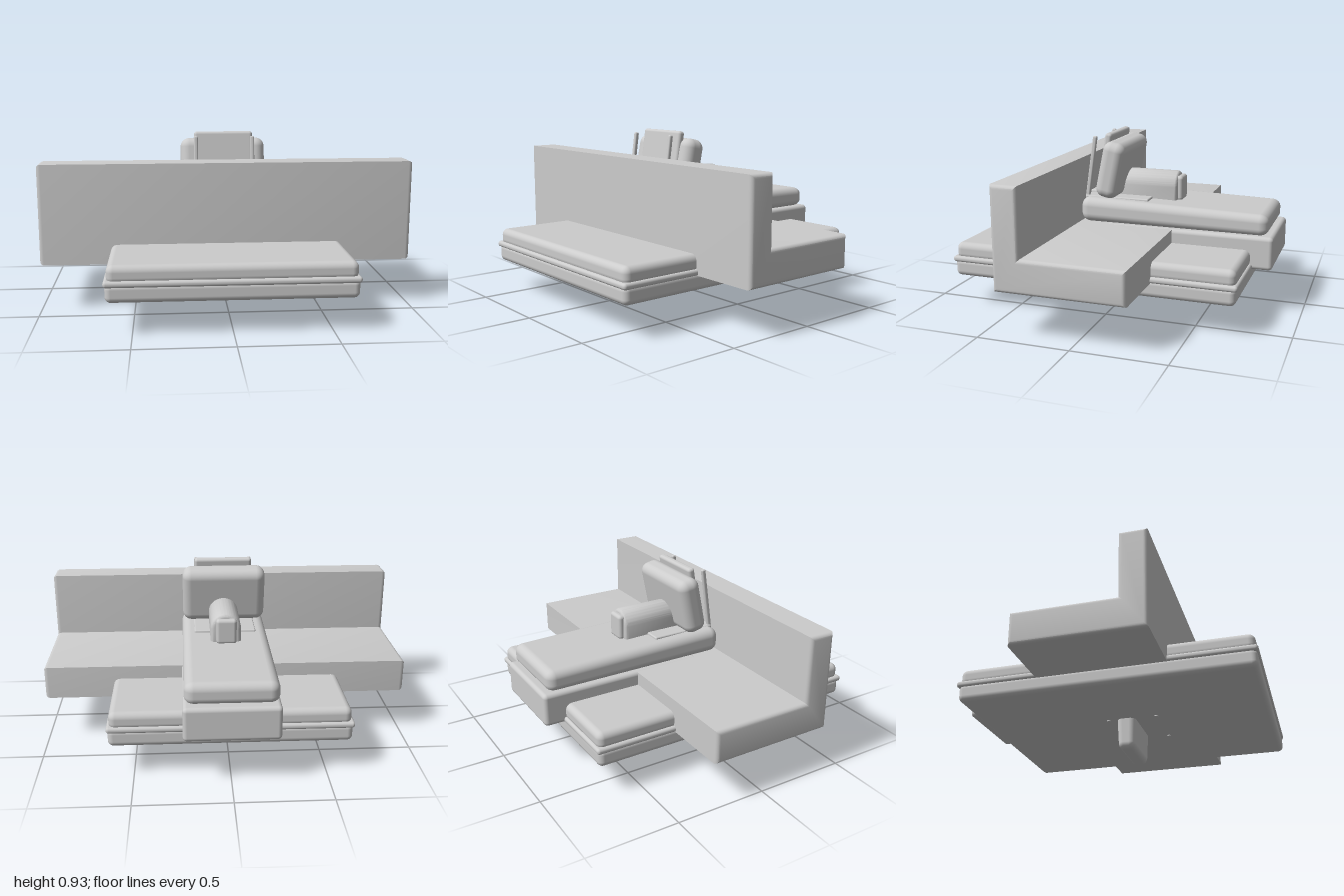
import * as THREE from 'three';
import { RoundedBoxGeometry } from 'three/addons/geometries/RoundedBoxGeometry.js';
import { toCreasedNormals } from 'three/addons/utils/BufferGeometryUtils.js';

export function createModel() {
  const model = new THREE.Group();
  const grey = new THREE.MeshStandardMaterial({ color: 0xcccccc });
  grey.name = 'light grey';

  function add(name, geometry, parent = model) {
    const mesh = new THREE.Mesh(geometry, grey);
    mesh.name = name;
    parent.add(mesh);
    return mesh;
  }

  // rounded box given by its limits on each axis
  function block(name, [x0, x1], [y0, y1], [z0, z1], radius, parent) {
    const mesh = add(name, new RoundedBoxGeometry(x1 - x0, y1 - y0, z1 - z0, 4, radius), parent);
    mesh.position.set((x0 + x1) / 2, (y0 + y1) / 2, (z0 + z1) / 2);
    return mesh;
  }

  // move the vertices of a mesh by a rule
  function reshape(mesh, rule) {
    const p = mesh.geometry.attributes.position;
    const v = new THREE.Vector3();
    for (let i = 0; i < p.count; i++) {
      rule(v.fromBufferAttribute(p, i));
      p.setXYZ(i, v.x, v.y, v.z);
    }
  }

  // base tray in two halves with a bead around the seam
  block('trayBottom', [-0.63, 0.627], [0.17, 0.268], [-0.727, 0.84], 0.03);
  block('traySeamBead', [-0.637, 0.633], [0.25, 0.283], [-0.737, 0.847], 0.015);
  block('trayTop', [-0.622, 0.62], [0.262, 0.357], [-0.725, 0.834], 0.035);

  // keel under the tray, narrowing towards its foot
  const keel = block('keel', [-0.167, 0.163], [0, 0.21], [0.003, 0.112], 0.035);
  reshape(keel, (v) => {
    const t = (0.105 - v.y) / 0.21;
    v.z *= 1 - 0.18 * t;
    v.x *= 1 - 0.03 * t;
  });

  // screws around the keel
  for (const side of [-1, 1]) {
    for (const z of [-0.04, 0.23]) {
      const screw = add('screw', new THREE.CylinderGeometry(0.011, 0.011, 0.012, 16));
      screw.position.set(side * 0.155, 0.17, z);
    }
  }

  // wide wing: seat and upright back share one L-shaped section
  const section = new THREE.Shape([
    [-0.40, 0.25], [0.29, 0.25], [0.29, 0.43], [-0.255, 0.43], [-0.255, 0.79], [-0.40, 0.79],
  ].map(([a, b]) => new THREE.Vector2(a, b)));
  const bevel = 0.022;
  const wing = new THREE.ExtrudeGeometry(section, {
    depth: 2 - 2 * bevel, bevelSize: bevel, bevelThickness: bevel,
    bevelOffset: -bevel, bevelSegments: 4,
  });
  wing.translate(0, 0, -1 + bevel).rotateY(Math.PI / 2);
  add('wideSeatAndBack', toCreasedNormals(wing, 0.6));

  // long seat reaching backwards, with its cushion
  block('longSeatBase', [-0.25, 0.245], [0.25, 0.432], [-0.843, 0.1], 0.022);
  const cushion = block('longCushion', [-0.242, 0.237], [0.43, 0.57], [-0.812, 0.253], 0.05);
  reshape(cushion, (v) => {
    const t = (0.53 - v.z) / 1.065;
    v.y -= (v.y + 0.07) / 0.14 * 0.027 * t;
  });

  // mounting plate and arched arm on the cushion
  block('mountingPlate', [-0.175, 0.17], [0.5, 0.572], [-0.13, 0.245], 0.008);
  const arch = new THREE.Shape();
  arch.moveTo(-0.083, 0.53);
  arch.lineTo(0.083, 0.53);
  arch.lineTo(0.083, 0.63);
  arch.absarc(0, 0.63, 0.083, 0, Math.PI, false);
  arch.closePath();
  const arm = new THREE.ExtrudeGeometry(arch, {
    depth: 0.33, curveSegments: 24, bevelSize: 0.02, bevelThickness: 0.02,
    bevelOffset: -0.02, bevelSegments: 4,
  });
  arm.translate(0, 0, -0.25);
  add('arm', toCreasedNormals(arm, 0.6));
  block('armEndCap', [-0.058, 0.054], [0.55, 0.69], [-0.296, -0.2], 0.018);
  block('armFoot', [-0.083, 0.078], [0.5, 0.585], [0.03, 0.25], 0.012);

  // tilted pillow
  const pillow = block('pillow', [-0.24, 0.232], [0.568, 0.888], [0.018, 0.148], 0.05);
  pillow.rotation.x = -0.2;

  // panel in front of the pillow
  const panel = block('panel', [-0.165, 0.16], [0.66, 0.93], [0.107, 0.147], 0.016);
  panel.rotation.x = -0.15;

  // slanted rods beside the panel
  for (const x of [-0.158, 0.153]) {
    const rod = block('rod', [x - 0.011, x + 0.011], [0.545, 0.912], [0.2, 0.224], 0.008);
    rod.rotation.x = -0.14;
  }

  return model;
}
